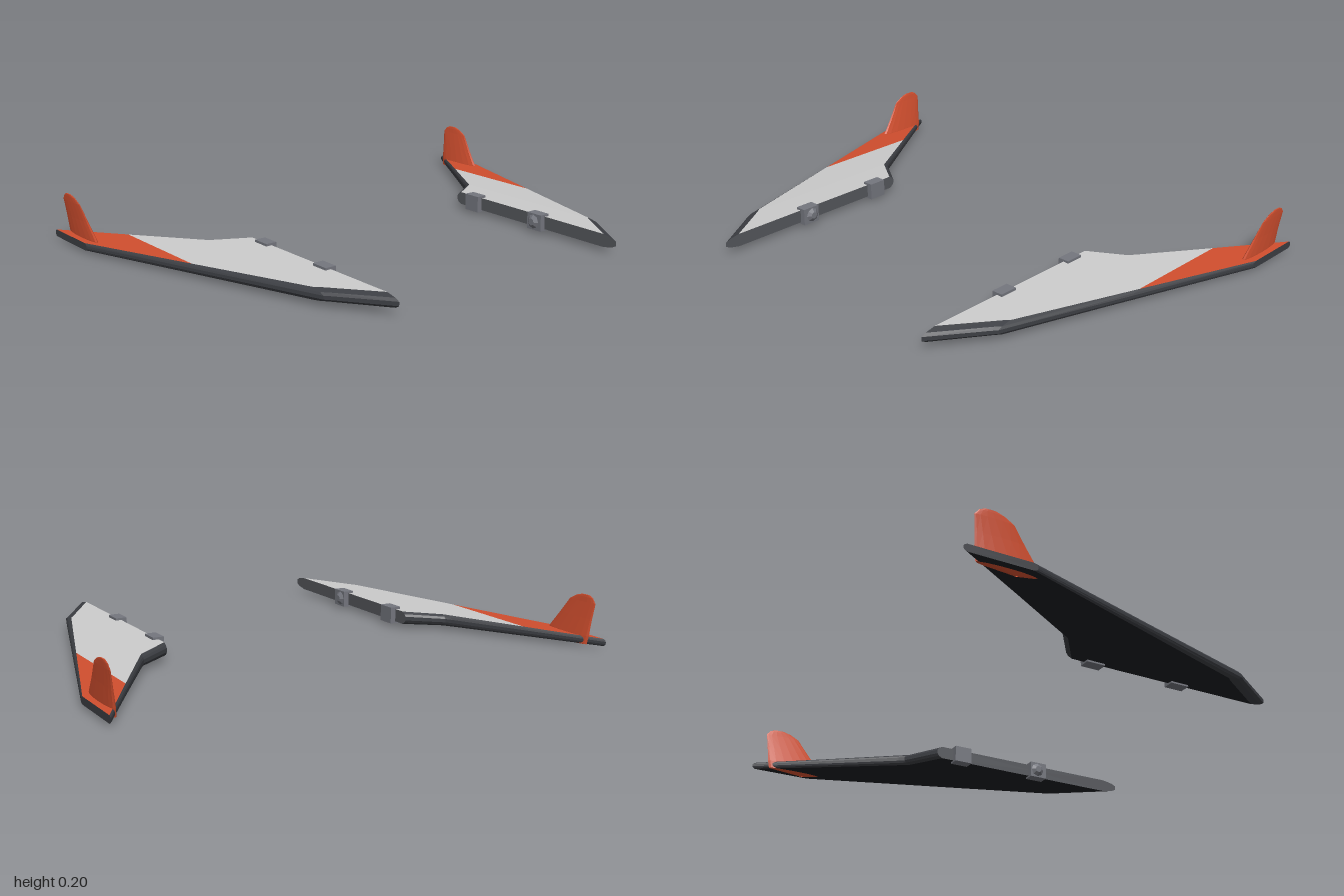
import * as THREE from 'three';

const COLORS = { panel: 0xcccccc, orange: 0xd04e2e, edge: 0x3c3e43, belly: 0x1d1e22, metal: 0x74767e, root: 0x55575c };
const mat = (name) => new THREE.MeshStandardMaterial({ color: COLORS[name], flatShading: true, side: THREE.DoubleSide });

// Skin a grid of points; s = -1 mirrors it across x and keeps the faces outward
function skin(name, color, rows, s) {
  const out = [];
  const put = (a, b, c) => {
    for (const p of s > 0 ? [a, b, c] : [a, c, b]) out.push(p[0] * s, p[1], p[2]);
  };
  for (let i = 0; i < rows.length - 1; i++) {
    for (let j = 0; j < rows[i].length - 1; j++) {
      const a = rows[i][j], b = rows[i][j + 1], c = rows[i + 1][j], d = rows[i + 1][j + 1];
      put(a, b, c);
      put(b, d, c);
    }
  }
  const g = new THREE.BufferGeometry();
  g.setAttribute('position', new THREE.Float32BufferAttribute(out, 3));
  g.computeVertexNormals();
  const mesh = new THREE.Mesh(g, mat(color));
  mesh.name = name;
  return mesh;
}

// A row holding the ring's centre, used to close an end
function centreRow(ring) {
  const c = [0, 1, 2].map((k) => ring.reduce((t, p) => t + p[k], 0) / ring.length);
  return ring.map(() => c);
}

// Span stations: x, leading z, trailing z, bottom y, top y, leading bevel, trailing bevel
const STATIONS = [
  [0.525, 0.755, -0.12, 0.019, 0.07, 0.062, -0.022],
  [0.655, 0.56, -0.212, 0.017, 0.063, 0.062, -0.022],
  [0.67, 0.54, -0.233, 0.017, 0.062, 0.06, -0.02],
  [0.835, 0.02, -0.495, 0.0145, 0.051, 0.038, -0.016],
  [1.0, -0.5, -0.76, 0.012, 0.04, 0.016, -0.012],
];
// Rounded edge: share of bevel, share of height
const EDGE = [[1, 1], [0.3, 0.84], [0, 0.66], [0, 0.36], [0.3, 0.16], [1, 0]];

function wing(s) {
  const g = new THREE.Group();
  g.name = s > 0 ? 'leftWing' : 'rightWing';

  const edge = (isFront) => STATIONS.map(([x, le, te, y0, y1, bl, bt]) =>
    EDGE.map(([b, h]) => [x, y0 + (y1 - y0) * h, isFront ? le - bl * b : te - bt * b]));
  const lead = edge(true);
  const trail = edge(false).map((r) => r.reverse());
  const last = EDGE.length - 1;
  const top = STATIONS.map((_, i) => [trail[i][last], lead[i][0]]);
  const belly = STATIONS.map((_, i) => [lead[i][last], trail[i][0]]);
  const ring = (i) => [...lead[i], ...trail[i], lead[i][0]];
  const root = ring(0), tip = ring(STATIONS.length - 1);

  g.add(
    skin('topPanel', 'panel', top.slice(0, 4), s),
    skin('tipPanel', 'orange', top.slice(3), s),
    skin('belly', 'belly', belly, s),
    skin('leadingEdge', 'edge', lead, s),
    skin('trailingEdge', 'edge', trail, s),
    skin('rootRib', 'root', [centreRow(root), root], s),
    skin('tipCap', 'edge', [tip, centreRow(tip)], s),
  );

  // Lens-section fin. Levels: y, centre x, front z, back z, half thickness
  const levels = [
    [0, 0.96, -0.55, -0.565, 0.002],
    [0.013, 0.96, -0.48, -0.7, 0.014],
    [0.045, 0.963, -0.482, -0.706, 0.014],
    [0.11, 0.971, -0.532, -0.71, 0.009],
    [0.17, 0.979, -0.575, -0.716, 0.005],
    [0.189, 0.981, -0.61, -0.7, 0.004],
    [0.197, 0.982, -0.638, -0.682, 0.003],
  ];
  const N = 16;
  const finRows = levels.map(([y, x, f, b, t]) => Array.from({ length: N + 1 }, (_, j) => {
    const a = (j / N) * Math.PI * 2;
    return [x + t * Math.sin(a), y, (f + b) / 2 + ((f - b) / 2) * Math.cos(a)];
  }));
  g.add(skin('fin', 'orange', [...finRows, centreRow(finRows[finRows.length - 1])], s));

  // Mounting clips on the root, the front one with a locking pin
  for (const z of [-0.01, 0.35]) {
    const clip = new THREE.Mesh(new THREE.BoxGeometry(0.044, 0.066, 0.074), mat('metal'));
    clip.name = 'mountingClip';
    clip.position.set(0.525 * s, 0.045, z);
    g.add(clip);
  }
  const pin = new THREE.Mesh(new THREE.CylinderGeometry(0.014, 0.03, 0.012, 8), mat('metal'));
  pin.name = 'lockingPin';
  pin.rotation.z = (Math.PI / 2) * s;
  pin.position.set(0.498 * s, 0.045, 0.345);
  g.add(pin);
  return g;
}

export function createModel() {
  const model = new THREE.Group();
  model.name = 'wingPair';
  model.add(wing(1), wing(-1));
  return model;
}
